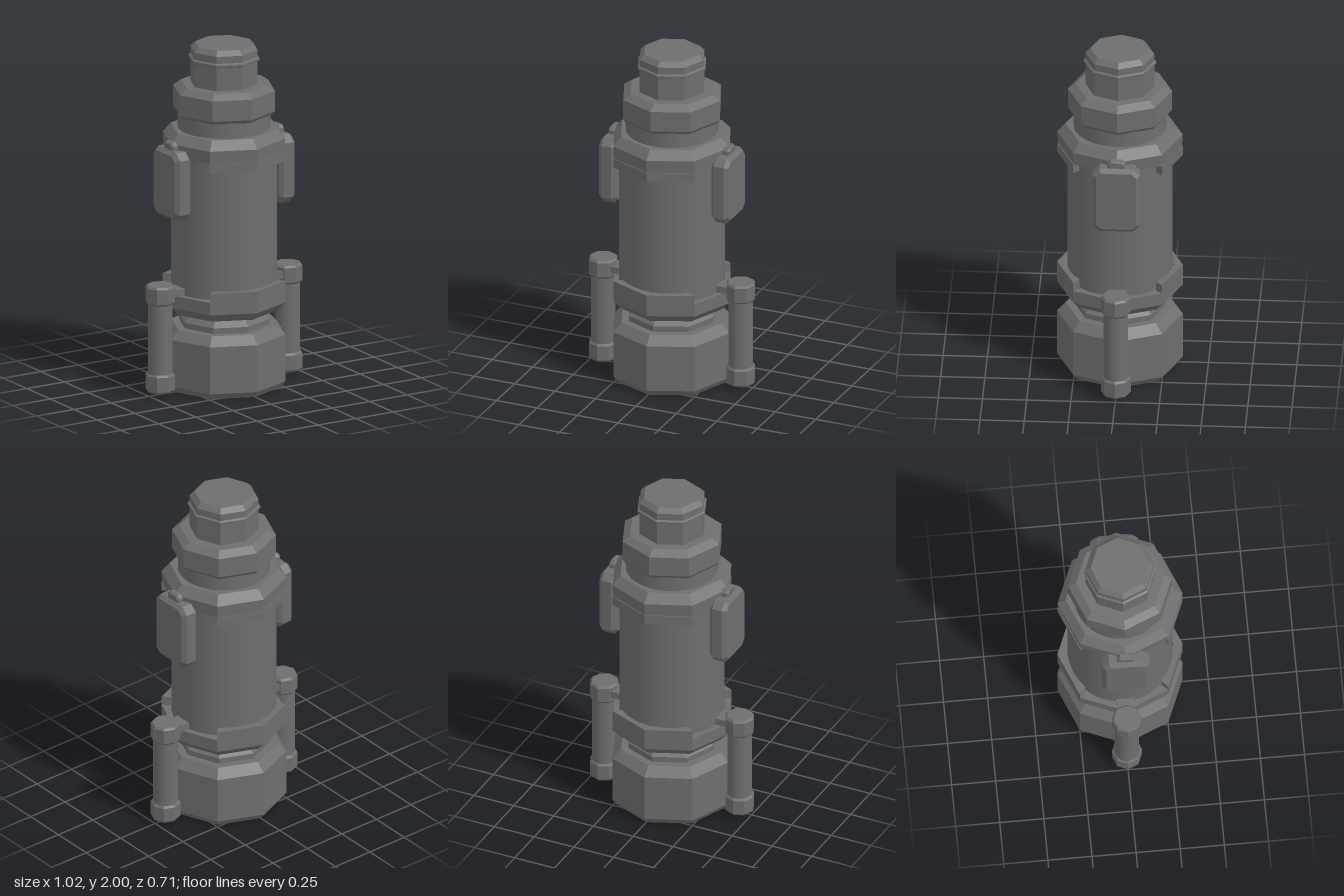
import * as THREE from 'three';

const metal = new THREE.MeshStandardMaterial({ color: 0x6e6e6e });
metal.name = 'dark grey metal';

function add(parent, name, geometry, x = 0, y = 0, z = 0) {
  const mesh = new THREE.Mesh(geometry, metal);
  mesh.name = name;
  mesh.position.set(x, y, z);
  parent.add(mesh);
  return mesh;
}

// Faceted octagonal turning from [radius, height] pairs, bottom to top
function octagon(profile, start = 0, length = Math.PI * 2, sides = 8) {
  const points = profile.map(([r, y]) => new THREE.Vector2(r, y));
  const geometry = new THREE.LatheGeometry(points, sides, start, length).toNonIndexed();
  geometry.computeVertexNormals();
  return geometry;
}

// Smooth round section between two heights
function round(radius, y0, y1) {
  return new THREE.CylinderGeometry(radius, radius, y1 - y0, 32).translate(0, (y0 + y1) / 2, 0);
}

// Plate facing +x with cut corners and bevelled rims
function plate(thick, high, wide, cut, bevel) {
  const w = wide / 2, h = high / 2, c = cut;
  const shape = new THREE.Shape([
    [w - c, -h], [w, -h + c], [w, h - c], [w - c, h],
    [-w + c, h], [-w, h - c], [-w, -h + c], [-w + c, -h],
  ].map(([a, b]) => new THREE.Vector2(a, b)));
  const geometry = new THREE.ExtrudeGeometry(shape, {
    depth: thick - 2 * bevel, bevelEnabled: true, bevelSegments: 1,
    bevelThickness: bevel, bevelSize: bevel, bevelOffset: -bevel,
  });
  return geometry.translate(0, 0, bevel - thick / 2).rotateY(Math.PI / 2);
}

// Raised quarter-turn lip with closed ends, on the front or the back
function lip(parent, name, y0, y1, turn) {
  const group = new THREE.Group();
  group.name = name;
  group.rotation.y = turn;
  const inner = 0.305, outer = 0.355, q = Math.PI / 4;
  add(group, 'lipWall', octagon(
    [[inner, y0], [outer, y0], [outer, y1], [inner, y1], [inner, y0]], -q, q * 2, 2));
  for (const s of [-1, 1]) {
    const r = (inner + outer) / 2;
    const end = add(group, 'lipEnd', new THREE.PlaneGeometry(outer - inner, y1 - y0),
      r * Math.sin(s * q), (y0 + y1) / 2, r * Math.cos(q));
    end.rotation.y = s * q + s * Math.PI / 2;
  }
  parent.add(group);
}

export function createModel() {
  const model = new THREE.Group();
  model.name = 'cylindricalDevice';

  // Base and waist
  add(model, 'base', octagon([[0, 0], [0.33, 0], [0.355, 0.035], [0.355, 0.31], [0.305, 0.362], [0, 0.362]]));
  add(model, 'waist', octagon([[0.26, 0.35], [0.26, 0.395], [0.205, 0.45], [0.205, 0.48]]));

  // Round body between two octagonal collars
  add(model, 'body', round(0.298, 0.47, 1.48));
  add(model, 'lowerCollar', octagon([[0, 0.448], [0.305, 0.448], [0.355, 0.498], [0.355, 0.572], [0.28, 0.572]]));
  add(model, 'upperCollar', octagon([[0.28, 1.385], [0.35, 1.385], [0.355, 1.46], [0.308, 1.512], [0, 1.512]]));
  for (const turn of [0, Math.PI]) {
    lip(model, 'lowerLip', 0.572, 0.625, turn);
    lip(model, 'upperLip', 1.33, 1.385, turn);
  }

  // Neck, nut and plug
  add(model, 'neck', round(0.262, 1.5, 1.62));
  add(model, 'nut', octagon([[0, 1.598], [0.28, 1.598], [0.295, 1.618], [0.295, 1.738], [0.25, 1.77], [0, 1.77]]));
  add(model, 'plug', octagon([[0.195, 1.76], [0.195, 1.905], [0.206, 1.912], [0.206, 1.924],
    [0.195, 1.931], [0.195, 1.972], [0.167, 2], [0, 2]]));

  // Side fittings, identical on both sides
  for (const [name, turn] of [['leftFittings', 0], ['rightFittings', Math.PI]]) {
    const side = new THREE.Group();
    side.name = name;
    side.rotation.y = turn;
    add(side, 'sidePanel', plate(0.105, 0.4, 0.27, 0.04, 0.022), 0.347, 1.233, 0);
    add(side, 'panelClip', plate(0.045, 0.09, 0.1, 0.018, 0.01), 0.352, 1.43, 0);

    const rod = new THREE.Group();
    rod.name = 'rod';
    rod.position.x = 0.425;
    add(rod, 'rodShaft', round(0.07, 0.1, 0.56));
    for (const y of [0.02, 0.535]) {
      add(rod, 'rodCap', octagon([[0, 0], [0.075, 0], [0.085, 0.012], [0.085, 0.098],
        [0.075, 0.11], [0, 0.11]]), 0, y, 0);
    }
    side.add(rod);
    add(side, 'rodBracket', new THREE.BoxGeometry(0.13, 0.04, 0.1), 0.325, 0.593, 0);
    model.add(side);
  }
  return model;
}
